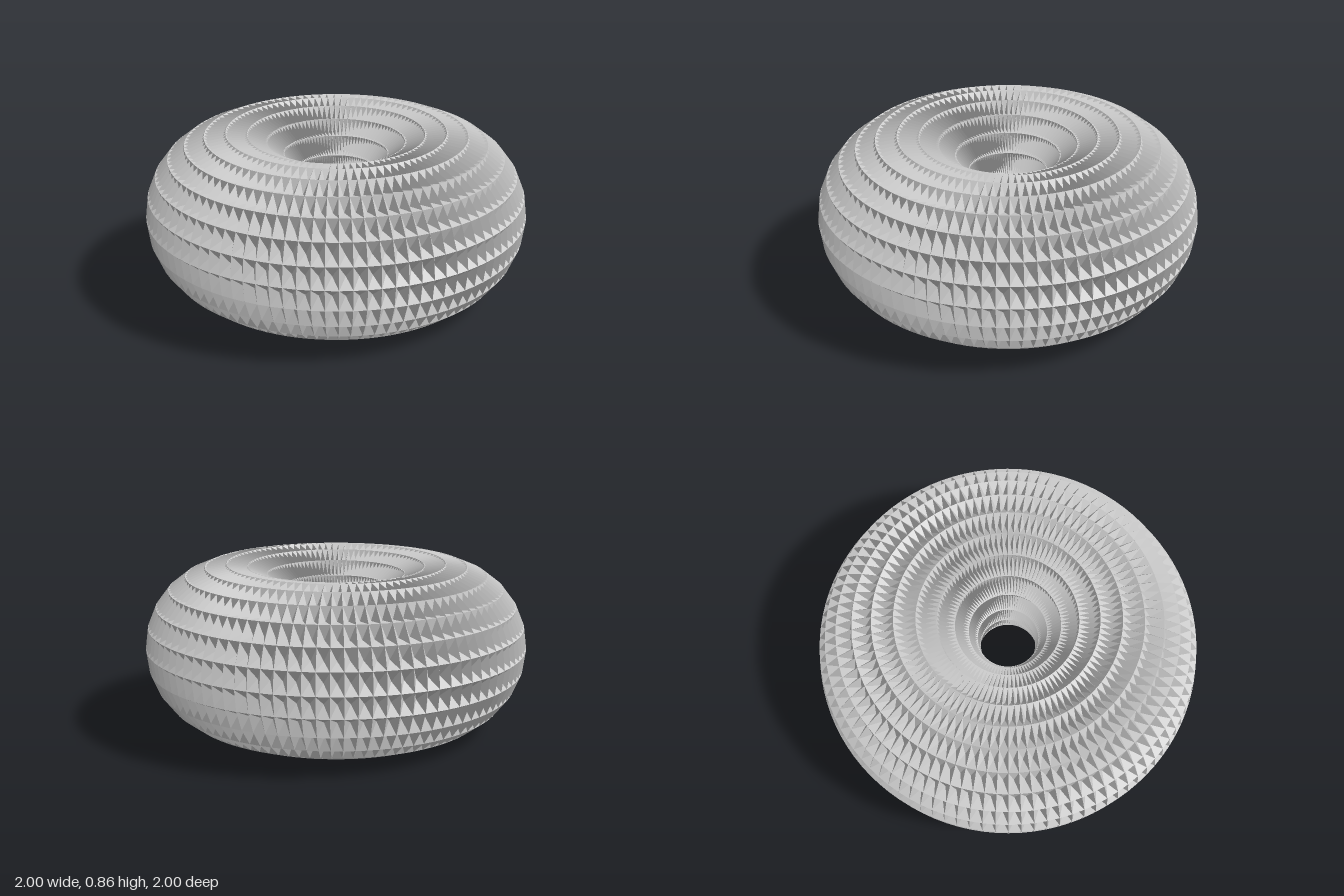
import * as THREE from 'three';

const MAJOR = 0.572;     // ring centre line radius
const MINOR = 0.428;     // tube radius
const COLUMNS = 96;      // cells around the ring
const ROWS = 24;         // cells around the tube
const PIT_DEPTH = 0.05;  // how far each cell centre is pressed in

// Point on the ring: u goes round the ring, v round the tube (both in cells)
function ringPoint(u, v, inset = 0) {
  const a = (u / COLUMNS) * Math.PI * 2;
  const b = (v / ROWS) * Math.PI * 2;
  const tube = MINOR - inset;
  const radius = MAJOR + tube * Math.cos(b);
  return [radius * Math.cos(a), MINOR + tube * Math.sin(b), radius * Math.sin(a)];
}

// Every cell is a four-sided pit with its tip below the surface
function dimpledRing() {
  const positions = [];
  for (let u = 0; u < COLUMNS; u++) {
    for (let v = 0; v < ROWS; v++) {
      const corners = [
        ringPoint(u, v), ringPoint(u, v + 1),
        ringPoint(u + 1, v + 1), ringPoint(u + 1, v),
      ];
      const tip = ringPoint(u + 0.5, v + 0.5, PIT_DEPTH);
      corners.forEach((corner, i) => {
        positions.push(...corner, ...corners[(i + 1) % 4], ...tip);
      });
    }
  }
  const geometry = new THREE.BufferGeometry();
  geometry.setAttribute('position', new THREE.Float32BufferAttribute(positions, 3));
  geometry.computeVertexNormals(); // unshared corners keep the facets flat
  return geometry;
}

export function createModel() {
  const group = new THREE.Group();
  group.name = 'dimpledTorus';

  const grey = new THREE.MeshStandardMaterial({ color: 0xcccccc });
  grey.name = 'light grey';

  const ring = new THREE.Mesh(dimpledRing(), grey);
  ring.name = 'ring';
  group.add(ring);
  return group;
}
